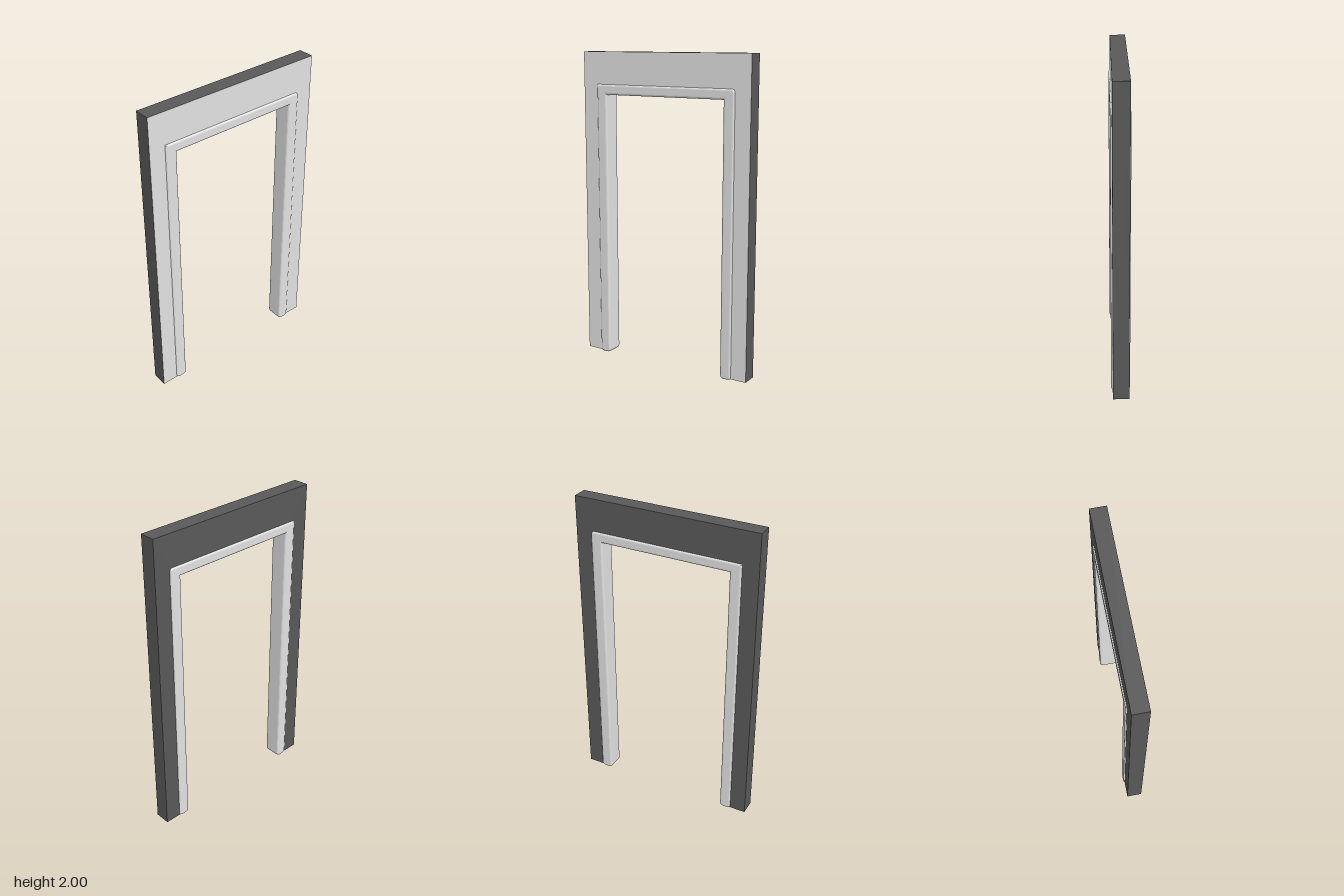
import * as THREE from 'three';

// Closed shape from [x, y, cornerRadius] points
function roundedShape(points) {
  const shape = new THREE.Shape();
  const n = points.length;
  points.forEach(([x, y, r = 0], i) => {
    const p = new THREE.Vector2(x, y);
    const towards = (q) => new THREE.Vector2(q[0], q[1]).sub(p).setLength(r).add(p);
    const a = r ? towards(points[(i + n - 1) % n]) : p;
    if (i === 0) shape.moveTo(a.x, a.y);
    else shape.lineTo(a.x, a.y);
    if (r) {
      const b = towards(points[(i + 1) % n]);
      shape.quadraticCurveTo(x, y, b.x, b.y);
    }
  });
  shape.closePath();
  return shape;
}

// Upside-down U outline, counter-clockwise
function archShape(outer, inner, bottom, top, innerTop, foot = 0, topRight = 0) {
  return roundedShape([
    [-outer, bottom, foot], [-inner, bottom, foot],
    [-inner, innerTop], [inner, innerTop],
    [inner, bottom, foot], [outer, bottom, foot],
    [outer, top, topRight], [-outer, top],
  ]);
}

export function createModel() {
  const model = new THREE.Group();
  model.name = 'doorway';

  const paleGrey = new THREE.MeshStandardMaterial({ color: 0xe2e2e2 });
  paleGrey.name = 'paleGrey';
  const darkGrey = new THREE.MeshStandardMaterial({ color: 0x595959 });
  darkGrey.name = 'darkGrey';

  const add = (name, geometry, material, z) => {
    const mesh = new THREE.Mesh(geometry, material);
    mesh.name = name;
    mesh.position.z = z;
    model.add(mesh);
  };

  // Wall around the opening, with a pale front face
  const wall = archShape(0.598, 0.46, 0.01, 2, 1.765);
  add('wall', new THREE.ExtrudeGeometry(wall, { depth: 0.1, bevelEnabled: false }), darkGrey, -0.051);
  add('wallFrontFace', new THREE.ShapeGeometry(wall), paleGrey, 0.0495);

  // Door frame with finely rounded edges, wrapping both wall faces;
  // corner radii stay well above the bevel so the inset outline never folds
  const bevel = 0.014;
  const halfDepth = 0.059;
  const frame = new THREE.ExtrudeGeometry(archShape(0.495, 0.42, 0.002, 1.796, 1.73, 0.026, 0.026), {
    depth: 2 * (halfDepth - bevel),
    bevelThickness: bevel,
    bevelSize: bevel,
    bevelOffset: -bevel,
    bevelSegments: 6,
    curveSegments: 6,
  });
  add('doorFrame', frame, paleGrey, -(halfDepth - bevel));

  return model;
}
